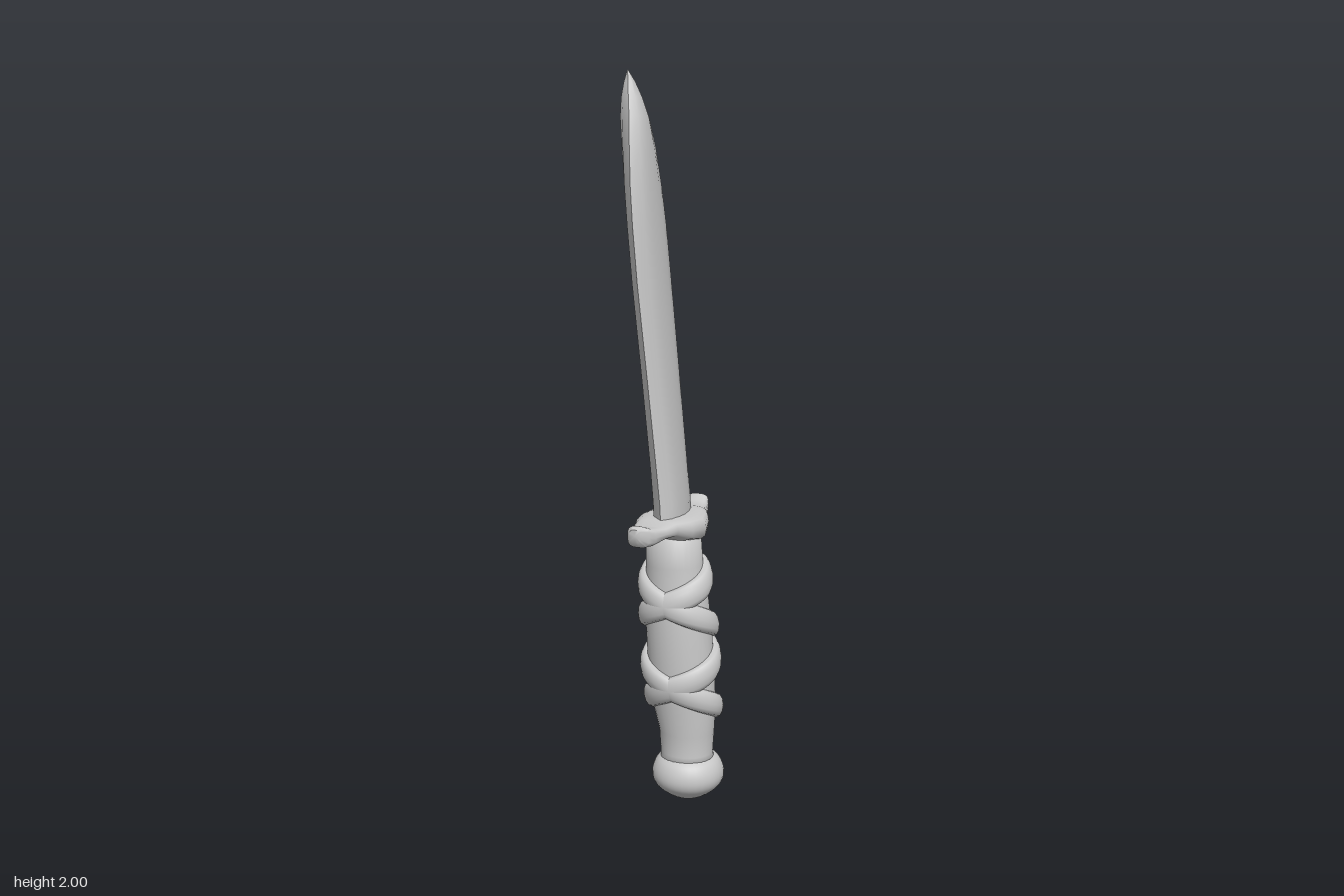
import * as THREE from 'three';
import { toCreasedNormals } from 'three/addons/utils/BufferGeometryUtils.js';

// Skin a list of closed rings (counter-clockwise about the travel direction), capped at both ends
function loft(rings, crease) {
  const n = rings[0].length, pos = [], idx = [];
  for (const ring of rings) for (const p of ring) pos.push(...p);
  for (let i = 0; i < rings.length - 1; i++) {
    for (let j = 0; j < n; j++) {
      const k = (j + 1) % n, a = i * n + j, b = i * n + k;
      idx.push(a, b, b + n, a, b + n, a + n);
    }
  }
  for (const end of [0, rings.length - 1]) {
    const c = pos.length / 3, o = end * n;
    pos.push(...[0, 1, 2].map((q) => rings[end].reduce((s, p) => s + p[q], 0) / n));
    for (let j = 0; j < n; j++) {
      const a = o + j, b = o + (j + 1) % n;
      if (end === 0) idx.push(c, b, a); else idx.push(c, a, b);
    }
  }
  const g = new THREE.BufferGeometry();
  g.setAttribute('position', new THREE.Float32BufferAttribute(pos, 3));
  g.setIndex(idx);
  g.computeVertexNormals();
  return crease ? toCreasedNormals(g, crease) : g;
}

// Interpolate rows of [key, values...] smoothly at key t
function sample(rows, t) {
  let i = 0;
  while (i < rows.length - 2 && t > rows[i + 1][0]) i++;
  const a = rows[i], b = rows[i + 1];
  const f = THREE.MathUtils.clamp((t - a[0]) / (b[0] - a[0]), 0, 1);
  return a.map((v, q) => v + (b[q] - v) * f);
}

const circle = (n, fn) => Array.from({ length: n }, (_, j) => fn((j / n) * Math.PI * 2));
const sq = (v, e) => Math.sign(v) * Math.abs(v) ** e;

// Grip profile: y, centre x, radius x, radius z
const GRIP = [
  [0.1, 0.045, 0.078, 0.075], [0.14, 0.042, 0.074, 0.068], [0.2, 0.042, 0.078, 0.07],
  [0.28, 0.034, 0.09, 0.078], [0.36, 0.026, 0.094, 0.084], [0.5, 0.018, 0.092, 0.088],
  [0.6, 0.011, 0.088, 0.08], [0.68, 0.005, 0.08, 0.072], [0.77, 0.002, 0.076, 0.074],
];

export function createModel() {
  const model = new THREE.Group();
  const steel = new THREE.MeshStandardMaterial({ color: 0xc8c8c8 });
  steel.name = 'pale grey';
  const add = (name, geometry) => {
    const mesh = new THREE.Mesh(geometry, steel);
    mesh.name = name;
    model.add(mesh);
  };

  // Blade: y, centre x, half thickness, half width; leans towards -x
  const blade = [
    [0.79, -0.005, 0.044, 0.1], [0.86, -0.009, 0.044, 0.097], [0.95, -0.017, 0.042, 0.098],
    [1.2, -0.041, 0.041, 0.103], [1.45, -0.066, 0.041, 0.108], [1.6, -0.08, 0.041, 0.105],
    [1.7, -0.09, 0.041, 0.095], [1.8, -0.1, 0.04, 0.076], [1.88, -0.11, 0.037, 0.052],
    [1.93, -0.117, 0.028, 0.034], [1.97, -0.122, 0.015, 0.017], [2.0, -0.126, 0.001, 0.001],
  ];
  // Cross-section: ridge on -x, flatter face on +x, sharp edges at +z and -z
  const half = [[0.25, 1], [0.78, 0.72], [0.96, 0.36]];
  const back = [[-0.86, 0.3], [-0.5, 0.66]];
  const section = [
    ...half, [1, 0], ...half.slice().reverse().map(([x, z]) => [x, -z]),
    ...back.slice().reverse().map(([x, z]) => [x, -z]), [-1, 0], ...back,
  ];
  add('blade', loft(blade.map(([y, cx, t, w]) =>
    section.map(([x, z]) => [cx + x * t, y, z * w])), 0.75));

  // Guard: z, centre x, half width, centre y, half height; ends flare upwards
  const guard = [
    [-0.213, 0, 0.016, 0.808, 0.018], [-0.2, 0, 0.032, 0.804, 0.031],
    [-0.175, 0, 0.038, 0.795, 0.025], [-0.14, 0, 0.047, 0.798, 0.018],
    [-0.1, -0.002, 0.066, 0.801, 0.022], [-0.06, 0, 0.084, 0.793, 0.032],
    [0, 0, 0.099, 0.786, 0.037], [0.06, 0, 0.084, 0.793, 0.032],
    [0.1, -0.006, 0.062, 0.801, 0.022], [0.14, -0.01, 0.05, 0.798, 0.018],
    [0.175, -0.015, 0.038, 0.795, 0.025], [0.198, -0.018, 0.031, 0.8, 0.029],
    [0.211, -0.022, 0.016, 0.804, 0.017],
  ];
  add('guard', loft(guard.map(([z, cx, w, y, h]) =>
    circle(20, (a) => [cx + w * sq(Math.cos(a), 0.6), y + h * sq(Math.sin(a), 0.6), z])), 0.9));

  // Grip core
  add('grip', loft(GRIP.map(([y, cx, rx, rz]) =>
    circle(28, (a) => [cx + rx * Math.sin(a), y, rz * Math.cos(a) - 0.003]))));

  // Two straps wound in opposite directions around the grip
  const strap = (y0, rise) => {
    const rings = [], steps = 96;
    for (let i = 0; i <= steps; i++) {
      const f = i / steps, th = Math.PI * (4 * f - 1);
      const y = y0 + rise * f;
      const taper = Math.min(1, 0.35 + 8 * Math.min(f, 1 - f));
      rings.push(circle(12, (a) => {
        const py = y + 0.036 * taper * Math.cos(a);
        const [, cx, rx, rz] = sample(GRIP, py);
        const r = 0.002 + 0.02 * taper * sq(Math.sin(a), 0.8);
        return [cx + (rx + r) * Math.sin(th), py, (rz + r) * Math.cos(th) - 0.003];
      }));
    }
    return loft(rings);
  };
  add('risingStrap', strap(0.225, 0.475));
  add('fallingStrap', strap(0.7, -0.475));

  // Rounded pommel
  const profile = [[0, 0], [0.035, 0.005], [0.068, 0.023], [0.092, 0.045], [0.101, 0.066],
    [0.1, 0.088], [0.092, 0.108], [0.08, 0.122], [0.06, 0.135]];
  const pommel = new THREE.LatheGeometry(
    new THREE.SplineCurve(profile.map((p) => new THREE.Vector2(...p))).getPoints(28)
      .map((p) => new THREE.Vector2(Math.max(p.x, 0), Math.max(p.y, 0))), 32);
  pommel.translate(0.045, 0, -0.006);
  add('pommel', pommel);

  return model;
}
